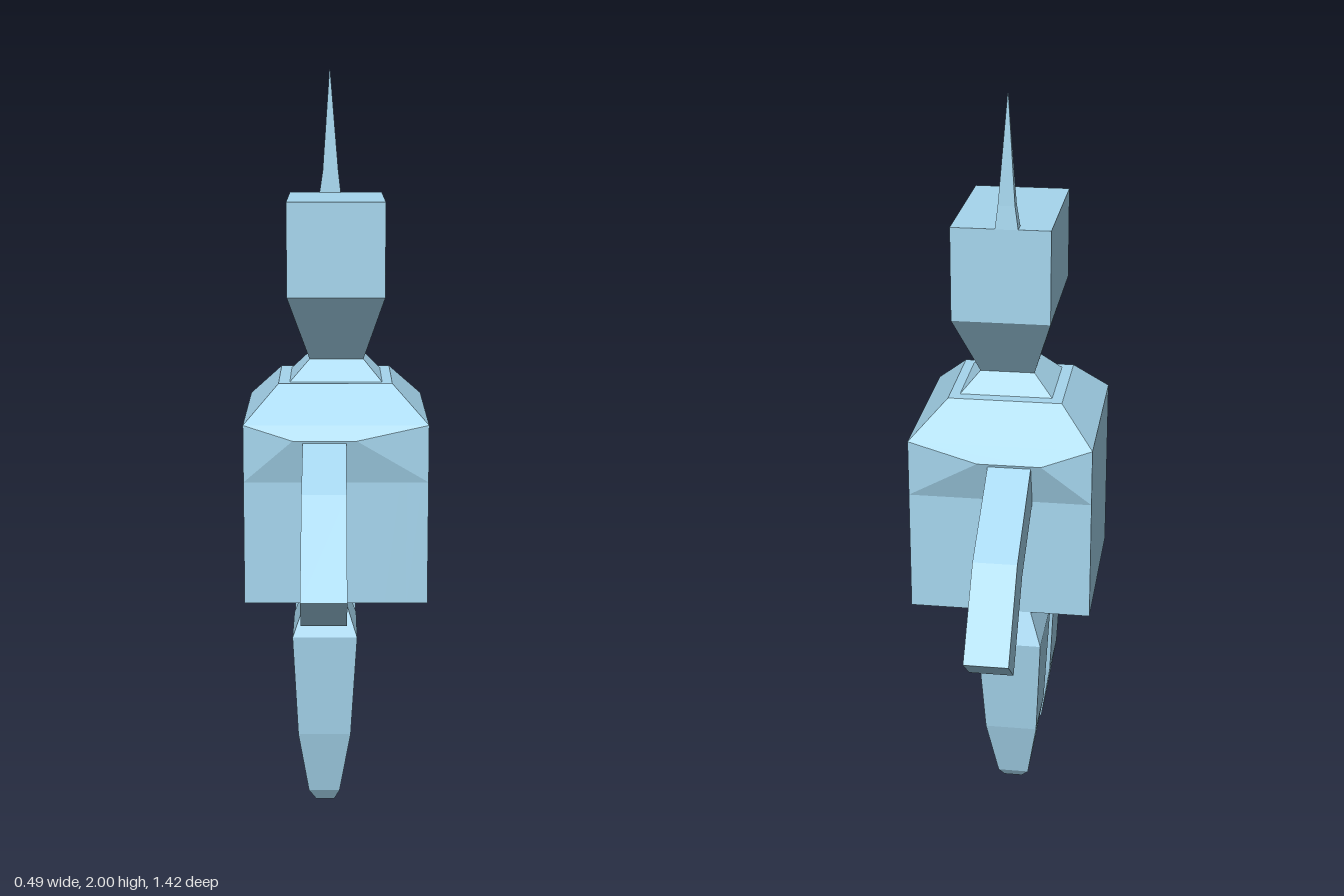
import * as THREE from 'three';
import { ConvexGeometry } from 'three/addons/geometries/ConvexGeometry.js';

const blue = new THREE.MeshStandardMaterial({ color: 0xa6d6ee, flatShading: true });
const red = new THREE.MeshStandardMaterial({ color: 0xdd0e12, flatShading: true });

// Stack of rectangles, bottom to top: each row is [y, x0, x1, z0, z1]
function loft(rows) {
  const pos = [];
  const rings = rows.map(([y, x0, x1, z0, z1]) =>
    [[x0, y, z1], [x1, y, z1], [x1, y, z0], [x0, y, z0]]);
  const quad = (a, b, c, d) => pos.push(...a, ...b, ...c, ...a, ...c, ...d);
  for (let r = 0; r < rings.length - 1; r++) {
    for (let i = 0; i < 4; i++) {
      const j = (i + 1) % 4;
      quad(rings[r][i], rings[r][j], rings[r + 1][j], rings[r + 1][i]);
    }
  }
  quad(...[...rings[0]].reverse());
  quad(...rings[rings.length - 1]);
  const geo = new THREE.BufferGeometry();
  geo.setAttribute('position', new THREE.Float32BufferAttribute(pos, 3));
  geo.computeVertexNormals();
  return geo;
}

// Outline of [z, y] points extruded along x, with optional holes
function slab(outline, x0, x1, holes = []) {
  const toPoints = (list) => list.map(([z, y]) => new THREE.Vector2(-z, y));
  const shape = new THREE.Shape(toPoints(outline));
  shape.holes = holes.map((h) => new THREE.Path(toPoints(h)));
  const geo = new THREE.ExtrudeGeometry(shape, { depth: x1 - x0, bevelEnabled: false });
  return geo.rotateY(Math.PI / 2).translate(x0, 0, 0);
}

const rect = (z0, z1, y0, y1) => [[z0, y0], [z1, y0], [z1, y1], [z0, y1]];

export function createModel() {
  const model = new THREE.Group();
  const add = (name, geo, material = blue) => {
    const mesh = new THREE.Mesh(geo, material);
    mesh.name = name;
    model.add(mesh);
    return mesh;
  };

  // Torso with a two-step recess in the chest (the face looks along +x)
  const side = rect(-0.25, 0.24, 0.585, 1.075);
  add('torso', loft([[0.585, -0.247, 0.13, -0.25, 0.24], [1.075, -0.247, 0.13, -0.25, 0.24]]));
  add('chestInner', slab(side, 0.13, 0.19, [rect(-0.035, 0.055, 0.62, 0.86)]));
  add('chestOuter', slab(side, 0.19, 0.247, [rect(-0.08, 0.095, 0.62, 0.92)]));

  // Sloped shoulders and neck
  add('shoulders', loft([
    [1.075, -0.247, 0.247, -0.25, 0.24],
    [1.17, -0.155, 0.152, -0.16, 0.14],
  ]));
  add('neck', loft([
    [1.17, -0.125, 0.125, -0.125, 0.115],
    [1.225, -0.072, 0.075, -0.085, 0.065],
  ]));

  // Head: funnel jaw, skull, face plate with eye openings
  add('jaw', loft([
    [1.225, -0.072, 0.075, -0.085, 0.065],
    [1.41, -0.13, 0.13, -0.222, 0.205],
  ]));
  add('head', loft([[1.41, -0.13, 0.095, -0.222, 0.205], [1.66, -0.13, 0.095, -0.222, 0.205]]));
  const eyes = [rect(0.075, 0.178, 1.51, 1.61), rect(-0.18, -0.07, 1.51, 1.61)];
  add('face', slab(rect(-0.222, 0.205, 1.41, 1.66), 0.095, 0.13, eyes));
  eyes.forEach((eye) => add('eye', slab(eye, 0.09, 0.097), red));

  // Small bulging mouth
  const mouth = new THREE.SphereGeometry(1, 10, 6).scale(0.007, 0.022, 0.072);
  add('mouth', mouth.translate(0.13, 1.452, 0));

  // Antenna spike
  add('antenna', loft([
    [1.66, -0.046, 0.014, -0.225, -0.184],
    [1.72, -0.037, 0.007, -0.219, -0.187],
    [2, -0.018, -0.016, -0.202, -0.2],
  ]));

  // Arms, bent differently on each side, with raised sockets
  const arms = [
    [[0.2, 1.06], [0.26, 1.035], [0.485, 0.945], [0.71, 0.73],
      [0.625, 0.645], [0.405, 0.86], [0.2, 0.925]],
    [[-0.2, 1.08], [-0.27, 1.04], [-0.545, 0.88], [-0.707, 0.675],
      [-0.615, 0.6], [-0.45, 0.8], [-0.2, 0.945]],
  ];
  arms.forEach((outline) => add('arm', slab(outline, -0.088, 0.027)));
  for (const [z, out] of [[0.24, 0.268], [-0.25, -0.288]]) {
    const points = [];
    for (const x of [-0.247, 0.247]) {
      for (const y of [0.92, 1.075]) points.push(new THREE.Vector3(x, y, z));
    }
    for (const x of [-0.115, 0.055]) points.push(new THREE.Vector3(x, 1.038, out));
    add('armSocket', new ConvexGeometry(points));
  }

  // Legs: tapered four-sided columns
  add('leg', loft([
    [0, -0.055, -0.005, 0.13, 0.195],
    [0.035, -0.075, 0.01, 0.108, 0.217],
    [0.215, -0.103, 0.04, 0.075, 0.255],
    [0.5, -0.117, 0.057, 0.053, 0.28],
    [0.585, -0.085, 0.028, 0.07, 0.24],
  ]));
  add('leg', loft([
    [0.02, -0.055, -0.005, -0.2, -0.13],
    [0.045, -0.075, 0.01, -0.217, -0.112],
    [0.215, -0.103, 0.04, -0.257, -0.077],
    [0.5, -0.117, 0.057, -0.288, -0.046],
    [0.585, -0.085, 0.028, -0.25, -0.075],
  ]));

  return model;
}
